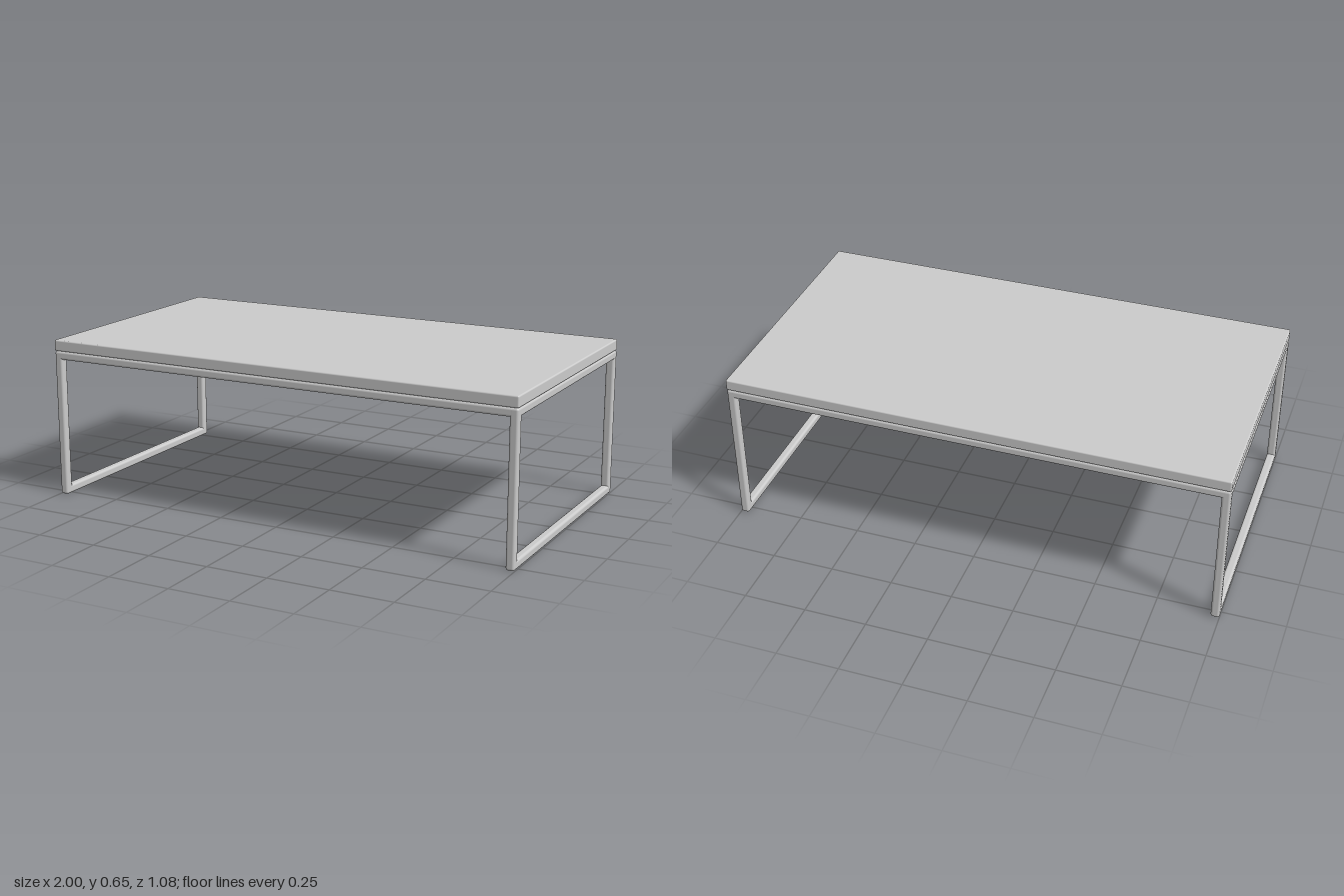
import * as THREE from 'three';
import { RoundedBoxGeometry } from 'three/addons/geometries/RoundedBoxGeometry.js';

const X = 1, Z = 0.538;          // half extents of the table
const BAR = 0.035;               // thickness of the square tube
const FRAME_TOP = 0.602, TOP = 0.647;

export function createModel() {
  const table = new THREE.Group();
  table.name = 'coffeeTable';
  const material = new THREE.MeshStandardMaterial({ color: 0xcccccc });

  function block(parent, name, size, position, radius) {
    const mesh = new THREE.Mesh(new RoundedBoxGeometry(...size, 3, radius), material);
    mesh.name = name;
    mesh.position.set(...position);
    parent.add(mesh);
  }

  // Slab with softened edges
  block(table, 'tabletop', [2 * X, TOP - FRAME_TOP, 2 * Z], [0, (TOP + FRAME_TOP) / 2, 0], 0.006);

  // Tube frame: rails end inside the posts they meet
  const frame = new THREE.Group();
  frame.name = 'frame';
  table.add(frame);
  const r = 0.01;
  const px = X - BAR / 2, pz = Z - BAR / 2;
  const railY = FRAME_TOP - BAR / 2;

  for (const [side, sx] of [['left', 1], ['right', -1]]) {
    for (const [end, sz] of [['Front', 1], ['Back', -1]]) {
      block(frame, side + end + 'Leg', [BAR, FRAME_TOP, BAR], [sx * px, FRAME_TOP / 2, sz * pz], r);
    }
    block(frame, side + 'TopRail', [BAR, BAR, 2 * pz], [sx * px, railY, 0], r);
    block(frame, side + 'FloorRail', [BAR, BAR, 2 * pz], [sx * px, BAR / 2, 0], r);
  }
  for (const [end, sz] of [['front', 1], ['back', -1]]) {
    block(frame, end + 'LongRail', [2 * px, BAR, BAR], [0, railY, sz * pz], r);
  }
  return table;
}
